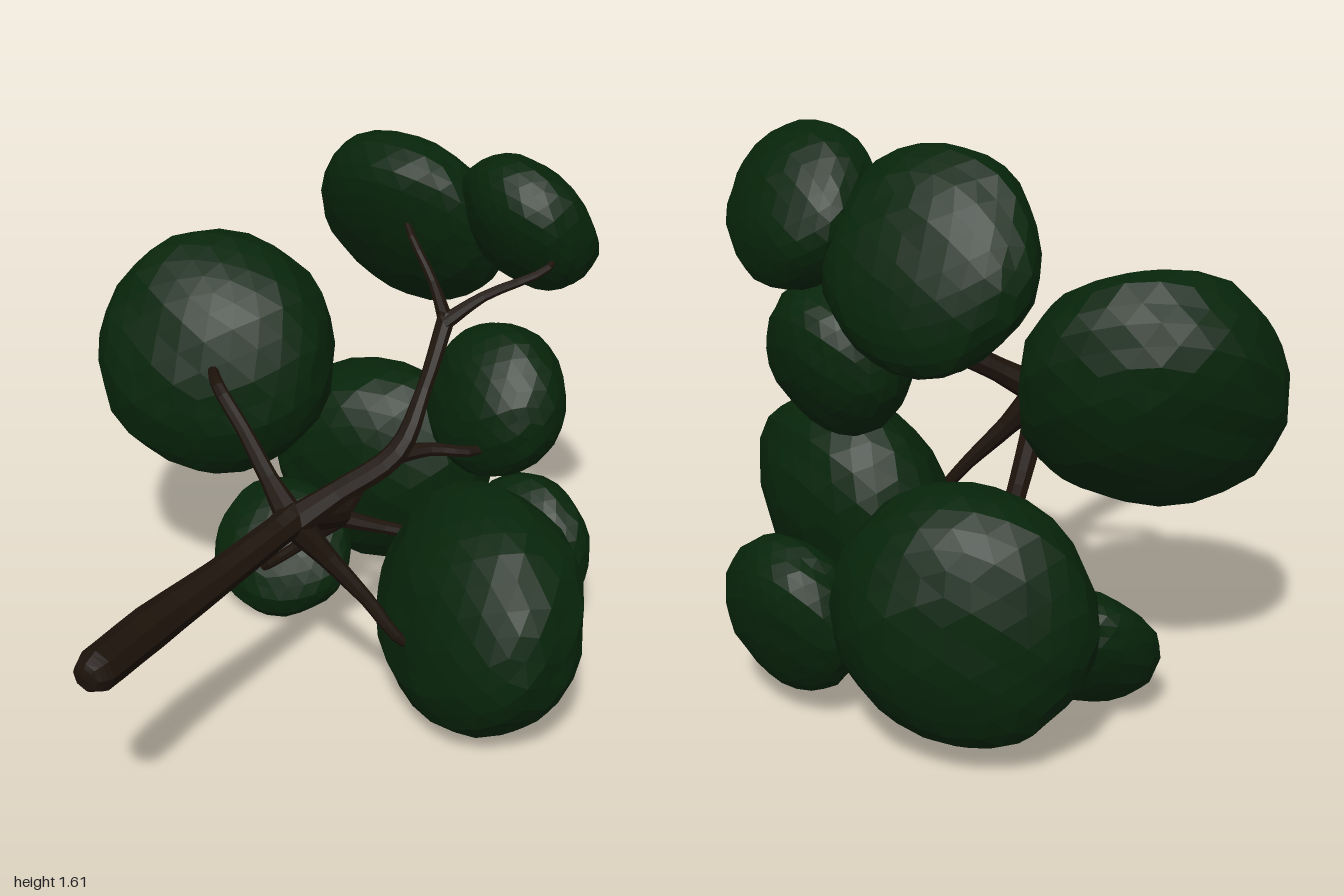
import * as THREE from 'three';
import { mergeVertices } from 'three/addons/utils/BufferGeometryUtils.js';

const bark = new THREE.MeshStandardMaterial({ color: 0x1c120a, flatShading: true });
const leaf = new THREE.MeshStandardMaterial({ color: 0x07240a, flatShading: true });
const V = (p) => new THREE.Vector3(...p);

// Tapered limb: each station is [x, y, z, radius]
function limb(name, stations, steps) {
  const curve = new THREE.CatmullRomCurve3(stations.map((s) => V(s.slice(0, 3))));
  const n = stations.length - 1, sides = 8;
  const seg = n * steps;
  // Sample by parameter so that radii line up with the stations
  const path = new THREE.Curve();
  path.getPoint = (t, target = new THREE.Vector3()) => curve.getPoint(t, target);
  path.getPointAt = path.getPoint;
  path.getTangentAt = (t, target) => curve.getTangent(t, target);
  const geo = new THREE.TubeGeometry(path, seg, 1, sides, false);
  const pos = geo.attributes.position, p = new THREE.Vector3();
  for (let i = 0; i <= seg; i++) {
    const c = curve.getPoint(i / seg);
    const k = Math.min(Math.floor(i / steps), n - 1);
    const r = THREE.MathUtils.lerp(stations[k][3], stations[k + 1][3], i / steps - k);
    for (let j = 0; j <= sides; j++) {
      const id = i * (sides + 1) + j;
      p.fromBufferAttribute(pos, id).sub(c).multiplyScalar(r).add(c);
      pos.setXYZ(id, p.x, p.y, p.z);
    }
  }
  const mesh = new THREE.Mesh(geo, bark);
  mesh.name = name;
  return mesh;
}

// Flattened, slightly lumpy leaf clump whose short axis follows "normal"
function clump(name, center, radius, thickness, normal, seed) {
  let geo = new THREE.IcosahedronGeometry(1, 4);
  geo.deleteAttribute('uv');
  geo.deleteAttribute('normal');
  geo = mergeVertices(geo, 1e-4);
  const turn = new THREE.Quaternion().setFromUnitVectors(new THREE.Vector3(0, 0, 1), V(normal).normalize());
  const pos = geo.attributes.position, p = new THREE.Vector3();
  for (let i = 0; i < pos.count; i++) {
    p.fromBufferAttribute(pos, i);
    const lump = 1 + 0.02 * Math.sin(4 * p.x + seed) * Math.cos(5 * p.y - seed)
      + 0.015 * Math.sin(7 * p.z + 3 * p.x + 2 * seed) + 0.012 * Math.sin(13 * p.y + 11 * p.z + seed);
    // Fuller shoulders than a plain ellipsoid
    const z = Math.sign(p.z) * Math.abs(p.z) ** 0.88;
    p.set(p.x * radius, p.y * radius, z * thickness).multiplyScalar(lump).applyQuaternion(turn);
    pos.setXYZ(i, p.x, p.y, p.z);
  }
  geo.computeVertexNormals();
  const mesh = new THREE.Mesh(geo, leaf);
  mesh.name = name;
  mesh.position.set(...center);
  return mesh;
}

export function createModel() {
  const tree = new THREE.Group();
  tree.name = 'fallenTree';

  // Trunk, lying along z, with a blunt closed foot
  const wood = new THREE.Group();
  wood.name = 'wood';
  wood.add(limb('trunk', [
    [-0.01, 0.66, 1.0, 0], [-0.01, 0.66, 0.99, 0.04], [-0.01, 0.655, 0.95, 0.06], [-0.02, 0.64, 0.7, 0.062],
    [0.01, 0.655, 0.42, 0.05], [0.04, 0.68, 0.18, 0.045], [0.05, 0.69, 0.1, 0.05], [0.06, 0.69, 0.04, 0],
  ], 3));

  // Branches and their forks
  const branches = {
    leftUpperBranch: [[0.05, 0.68, 0.11, 0.045], [-0.06, 0.765, 0.065, 0.027], [-0.18, 0.865, 0.015, 0.022], [-0.29, 0.95, -0.025, 0.02], [-0.37, 0.955, -0.11, 0.015], [-0.43, 0.93, -0.2, 0.008]],
    rightUpperBranch: [[0.04, 0.67, 0.12, 0.05], [0.14, 0.76, 0.02, 0.036], [0.26, 0.87, -0.1, 0.034], [0.28, 1.03, -0.21, 0.022], [0.28, 1.21, -0.33, 0.026]],
    middleFork: [[0.24, 0.86, -0.08, 0.03], [0.32, 0.86, -0.18, 0.02], [0.42, 0.84, -0.28, 0.015], [0.42, 0.87, -0.4, 0.006]],
    topInnerFork: [[0.29, 1.19, -0.31, 0.024], [0.2, 1.26, -0.39, 0.015], [0.05, 1.36, -0.5, 0.011], [0, 1.38, -0.6, 0.005]],
    topOuterFork: [[0.28, 1.19, -0.31, 0.024], [0.36, 1.26, -0.39, 0.015], [0.5, 1.34, -0.5, 0.011], [0.47, 1.37, -0.6, 0.005]],
    rightLowerBranch: [[0.04, 0.69, 0.11, 0.05], [0.14, 0.57, 0.07, 0.03], [0.25, 0.45, 0.035, 0.021], [0.36, 0.32, 0, 0.016], [0.4, 0.3, -0.1, 0.006]],
    lowerBranch: [[0.05, 0.69, 0.12, 0.05], [0.01, 0.6, -0.03, 0.036], [-0.03, 0.5, -0.2, 0.031], [-0.07, 0.42, -0.36, 0.033]],
    lowerLeftFork: [[-0.06, 0.43, -0.33, 0.03], [-0.17, 0.32, -0.31, 0.02], [-0.3, 0.2, -0.27, 0.014], [-0.32, 0.18, -0.36, 0.006]],
    lowerRightFork: [[-0.07, 0.42, -0.34, 0.03], [0.04, 0.38, -0.42, 0.021], [0.16, 0.34, -0.51, 0.018], [0.33, 0.28, -0.65, 0.01]],
    lowerBackFork: [[-0.06, 0.43, -0.32, 0.03], [-0.1, 0.42, -0.48, 0.022], [-0.15, 0.41, -0.68, 0.012]],
  };
  for (const [name, stations] of Object.entries(branches)) wood.add(limb(name, stations, 4));
  tree.add(wood);

  // Leaf clumps: name, centre, radius, half thickness, short axis
  const foliage = new THREE.Group();
  foliage.name = 'foliage';
  [
    ['leftClump', [-0.47, 0.905, -0.28], 0.36, 0.23, [0.36, 0.38, 0.85]],
    ['topClump', [-0.03, 1.305, -0.67], 0.298, 0.155, [-0.04, -0.42, 0.9]],
    ['topRightClump', [0.36, 1.39, -0.64], 0.22, 0.135, [-0.25, -0.45, 0.84]],
    ['middleRightClump', [0.385, 0.915, -0.45], 0.225, 0.16, [-0.34, 0.32, 0.87]],
    ['lowerRightClump', [0.485, 0.36, -0.205], 0.365, 0.235, [-0.42, 0.3, 0.85]],
    ['lowerBackClump', [-0.165, 0.395, -0.76], 0.35, 0.215, [0.22, -0.1, 0.95]],
    ['lowerLeftClump', [-0.325, 0.187, -0.42], 0.222, 0.125, [0.2, 0.6, 0.75]],
    ['lowerBackRightClump', [0.375, 0.27, -0.73], 0.225, 0.135, [-0.25, 0.2, 0.93]],
  ].forEach(([name, c, r, t, n], i) => foliage.add(clump(name, c, r, t, n, 1.7 * i + 0.6)));
  tree.add(foliage);
  return tree;
}
